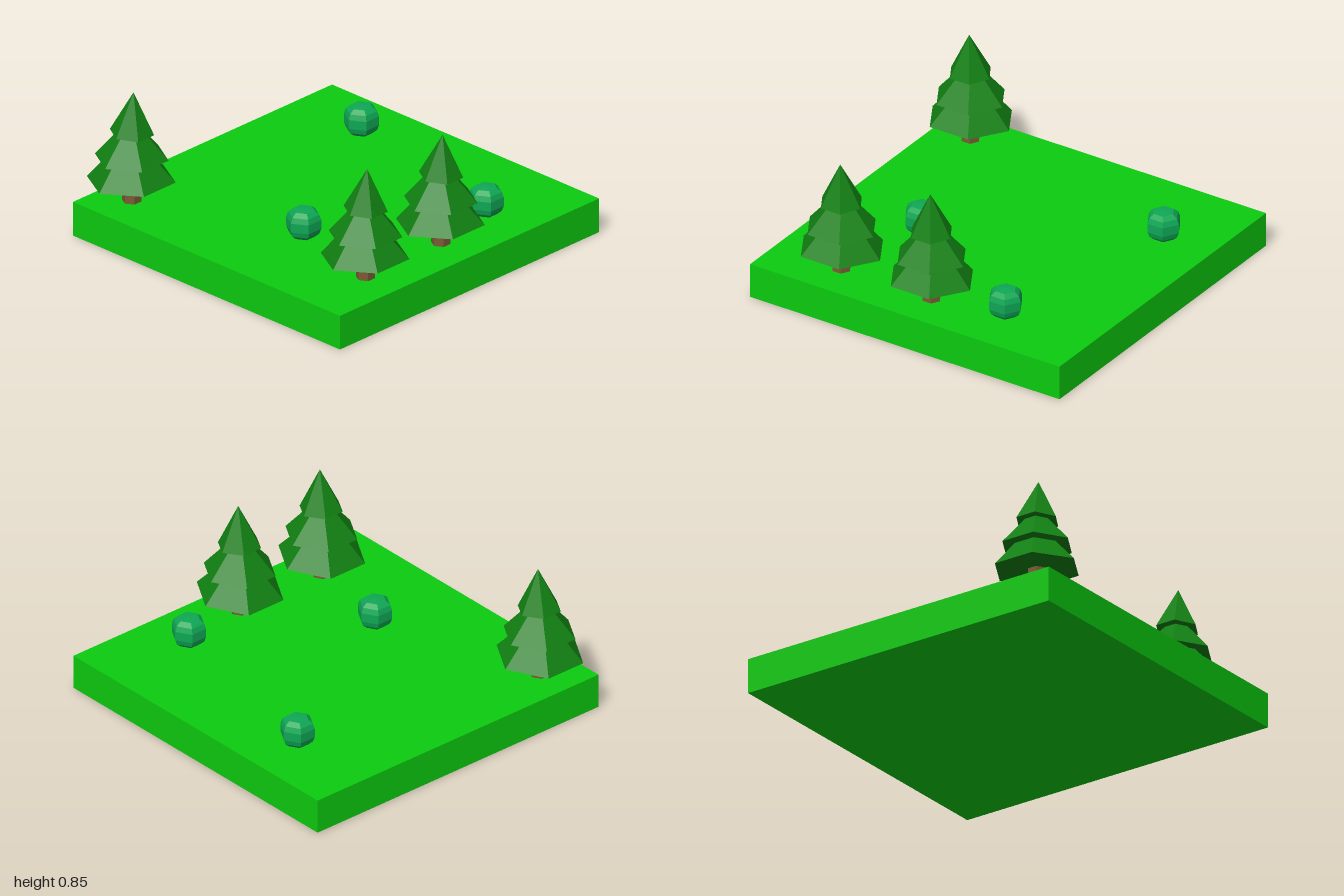
import * as THREE from 'three';

const flat = (name, color) => {
  const m = new THREE.MeshStandardMaterial({ color, flatShading: true });
  m.name = name;
  return m;
};

export function createModel() {
  const grass = flat('grass green', 0x0ccb0f);
  const needles = flat('pine green', 0x118012);
  const bark = flat('bark brown', 0x7a5a35);
  const leaf = flat('bush green', 0x0fa855);

  const model = new THREE.Group();
  model.name = 'meadow';
  const add = (parent, name, geometry, material, x = 0, y = 0, z = 0) => {
    const mesh = new THREE.Mesh(geometry, material);
    mesh.name = name;
    mesh.position.set(x, y, z);
    parent.add(mesh);
    return mesh;
  };

  // Square slab of ground
  const GROUND = 0.2;
  add(model, 'ground', new THREE.BoxGeometry(1.988, GROUND, 1.988), grass, 0.006, GROUND / 2, 0.002);

  // Pines: six-sided trunk and three stacked, slightly tilted cones
  const SIDE = Math.PI / 6; // puts hexagon corners on the x axis
  const trunkGeo = new THREE.CylinderGeometry(0.053, 0.053, 0.2, 6, 1, false, SIDE).translate(0, 0.1, 0);
  const tiers = [
    { name: 'lowerBranches', r: 0.245, h: 0.275, y: 0.325, z: -0.003, tilt: -0.045 },
    { name: 'middleBranches', r: 0.203, h: 0.235, y: 0.458, z: 0, tilt: -0.015 },
    { name: 'topBranches', r: 0.122, h: 0.24, y: 0.608, z: 0.002, tilt: 0.045 },
  ].map(t => ({
    ...t,
    geo: new THREE.CylinderGeometry(0, t.r, t.h, 6, 1, false, SIDE).translate(0, t.h / 2, 0),
  }));
  for (const [x, z] of [[-0.756, -0.779], [-0.554, 0.765], [0.024, 0.765]]) {
    const tree = new THREE.Group();
    tree.name = 'pineTree';
    tree.position.set(x, 0, z);
    add(tree, 'trunk', trunkGeo, bark, 0, GROUND, 0);
    for (const t of tiers) add(tree, t.name, t.geo, needles, 0, t.y, t.z).rotation.x = t.tilt;
    model.add(tree);
  }

  // Bushes: squat six-sided balls, profile mirrored top to bottom
  const half = [[0, 0.082], [0.06, 0.078], [0.086, 0.056], [0.097, 0.026]];
  const profile = [
    ...half.map(([r, y]) => new THREE.Vector2(r, -y)),
    ...half.map(([r, y]) => new THREE.Vector2(r, y)).reverse(),
  ];
  const bushGeo = new THREE.LatheGeometry(profile, 6, SIDE);
  for (const [x, z] of [[0.69, -0.472], [-0.428, 0.183], [0.449, 0.69]]) {
    add(model, 'bush', bushGeo, leaf, x, 0.282, z);
  }
  return model;
}
